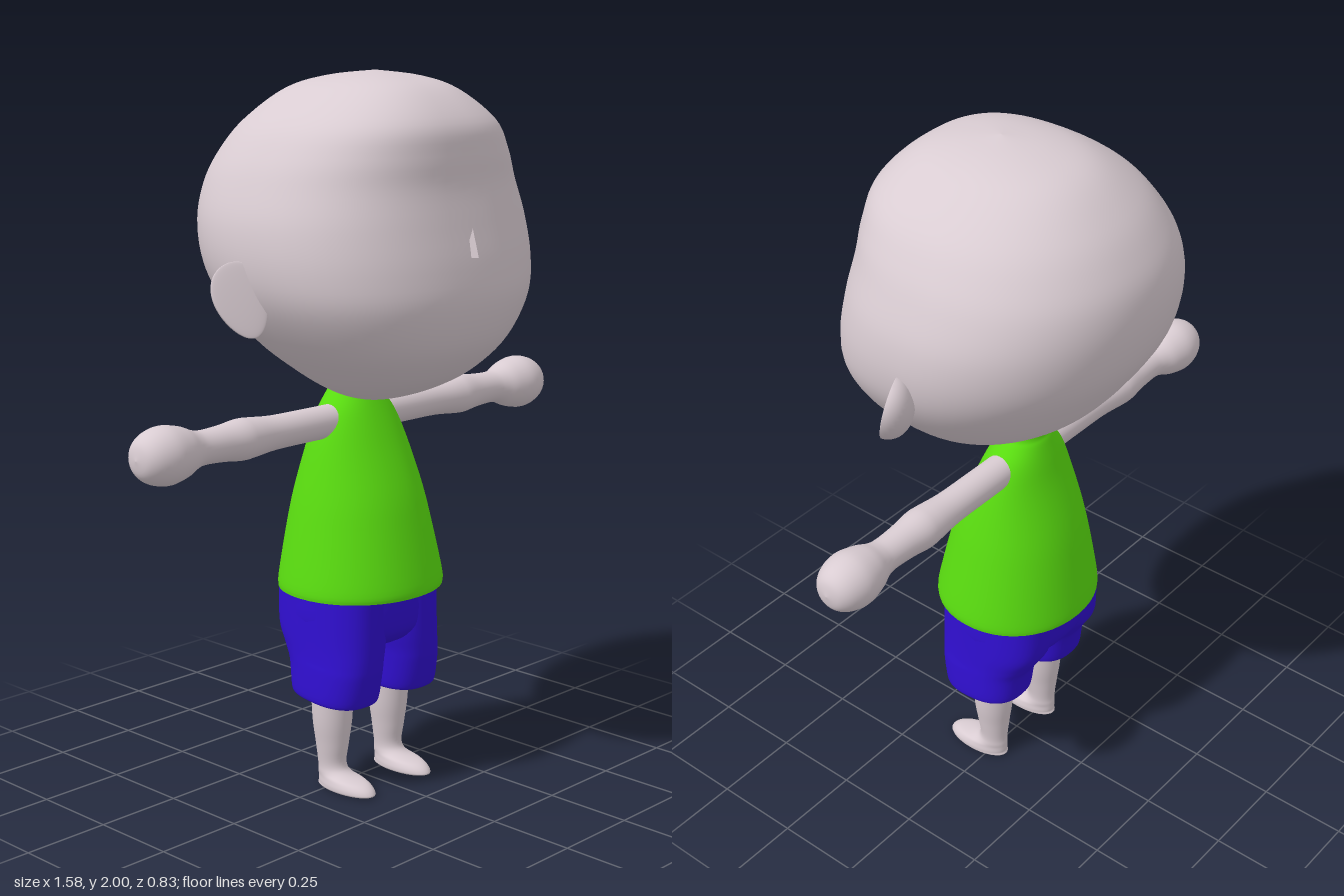
import * as THREE from 'three';

const skin = new THREE.MeshStandardMaterial({ color: 0xd9ccd2 });
const green = new THREE.MeshStandardMaterial({ color: 0x5ade10 });
const blue = new THREE.MeshStandardMaterial({ color: 0x300fd0 });
skin.name = 'skin';
green.name = 'shirtGreen';
blue.name = 'shortsBlue';

// Smooth interpolation through a list of number rows
function smoothRows(rows, steps) {
  const out = [];
  const at = (i) => rows[Math.min(rows.length - 1, Math.max(0, i))];
  for (let i = 0; i < rows.length - 1; i++) {
    for (let s = 0; s < steps; s++) {
      const t = s / steps;
      out.push(at(i).map((p1, k) => {
        const p0 = at(i - 1)[k], p2 = at(i + 1)[k], p3 = at(i + 2)[k];
        return 0.5 * (2 * p1 + (p2 - p0) * t + (2 * p0 - 5 * p1 + 4 * p2 - p3) * t * t
          + (3 * p1 - p0 - 3 * p2 + p3) * t * t * t);
      }));
    }
  }
  out.push(rows[rows.length - 1]);
  return out;
}

// Skin over superellipse rings; row = [y, centre x, half width, front z, back z], bottom to top
function loft(rows, { front = 2, back = 2, slope = 0, steps = 5, sides = 48 } = {}) {
  const pos = [], index = [];
  const rings = smoothRows(rows, steps);
  const pow = (v, n) => Math.sign(v) * Math.abs(v) ** (2 / n);
  rings.forEach(([y, cx, rx, zf, zb], i) => {
    for (let j = 0; j < sides; j++) {
      const t = (j / sides) * Math.PI * 2;
      const c = Math.cos(t), s = Math.sin(t), n = s > 0 ? front : back;
      const z = (zf + zb) / 2 + Math.max(0, (zf - zb) / 2) * pow(s, n);
      pos.push(cx + Math.max(0, rx) * pow(c, n), y + slope * z, z);
      if (i < rings.length - 1) {
        const a = i * sides + j, b = i * sides + (j + 1) % sides;
        index.push(a, a + sides, b, b, a + sides, b + sides);
      }
    }
  });
  const g = new THREE.BufferGeometry();
  g.setAttribute('position', new THREE.Float32BufferAttribute(pos, 3));
  g.setIndex(index);
  g.computeVertexNormals();
  return g;
}

export function createModel() {
  const model = new THREE.Group();
  model.name = 'child';
  const add = (name, geometry, material) => {
    const m = new THREE.Mesh(geometry, material);
    m.name = name;
    model.add(m);
    return m;
  };

  // Head with a shallow dent below the forehead
  add('head', loft([
    [1.12, 0, 0, 0.06, 0.06], [1.126, 0, 0.09, 0.14, 0], [1.16, 0, 0.18, 0.23, -0.06],
    [1.21, 0, 0.255, 0.31, -0.145], [1.29, 0, 0.345, 0.38, -0.25], [1.4, 0, 0.425, 0.413, -0.335],
    [1.5, 0, 0.455, 0.407, -0.39], [1.61, 0, 0.452, 0.385, -0.412], [1.71, 0, 0.42, 0.365, -0.405],
    [1.79, 0, 0.38, 0.361, -0.37], [1.87, 0, 0.318, 0.345, -0.31], [1.95, 0, 0.205, 0.265, -0.21],
    [1.985, 0, 0.11, 0.17, -0.09], [2.0, 0, 0, 0.05, 0.05],
  ], { front: 2.5, back: 2.1, sides: 64 }), skin);

  // Small pointed nose
  const noseGeo = new THREE.ConeGeometry(0.022, 0.075, 3).toNonIndexed();
  noseGeo.computeVertexNormals();
  add('nose', noseGeo, skin).position.set(0, 1.567, 0.397);

  // Shirt with collar and flat underside
  const hem = [0.575, 0, 0.236, 0.215, -0.225];
  add('shirt', loft([
    hem, [0.61, 0, 0.235, 0.214, -0.223], [0.757, 0, 0.208, 0.18, -0.2], [0.86, 0, 0.187, 0.15, -0.177],
    [0.995, 0, 0.153, 0.095, -0.135], [1.07, 0, 0.123, 0.063, -0.115], [1.12, 0, 0.085, 0.04, -0.1],
    [1.14, 0, 0.07, 0.03, -0.092], [1.17, 0, 0.066, 0.028, -0.09],
  ], { front: 2.1, back: 2.1 }), green);
  add('shirtUnderside', loft([[0.575, 0, 0, 0, 0], hem], { front: 2.1, back: 2.1, steps: 1 }), green);

  // Seat of the shorts
  add('shortsSeat', loft([
    [0.41, 0, 0, 0, 0], [0.418, 0, 0.12, 0.1, -0.11], [0.45, 0, 0.19, 0.145, -0.165],
    [0.5, 0, 0.209, 0.157, -0.187], [0.6, 0, 0.205, 0.155, -0.187],
  ], { front: 2.5, back: 2.5 }), blue);

  for (const [side, s] of [['left', 1], ['right', -1]]) {
    // Shorts leg, hollow at the hem
    add(side + 'ShortsLeg', loft([
      [0.36, s * 0.115, 0.06, 0.08, -0.07], [0.29, s * 0.115, 0.078, 0.1, -0.09],
      [0.276, s * 0.116, 0.09, 0.12, -0.108], [0.285, s * 0.117, 0.1, 0.135, -0.117],
      [0.36, s * 0.115, 0.1, 0.15, -0.13], [0.4, s * 0.112, 0.1, 0.154, -0.152],
      [0.46, s * 0.106, 0.104, 0.156, -0.182], [0.58, s * 0.103, 0.104, 0.156, -0.185],
    ], { front: 2.5, back: 2.5, slope: -0.09 }), blue);

    // Leg running into the foot
    const x = s * 0.115;
    add(side + 'Leg', loft([
      [0, x, 0, 0.05, 0.05], [0.001, x, 0.043, 0.143, -0.043], [0.012, x, 0.05, 0.151, -0.048],
      [0.03, x, 0.046, 0.125, -0.049], [0.044, x, 0.04, 0.06, -0.049], [0.07, x, 0.038, 0.037, -0.048],
      [0.13, x, 0.046, 0.044, -0.054], [0.22, x, 0.057, 0.054, -0.063], [0.4, x, 0.06, 0.058, -0.065],
    ], { sides: 32 }), skin);

    // Arm with elbow swell and ball hand
    const profile = [
      [0.046, 0.08], [0.046, 0.2], [0.047, 0.32], [0.054, 0.4], [0.056, 0.44], [0.049, 0.5],
      [0.046, 0.57], [0.052, 0.605], [0.068, 0.645], [0.078, 0.7], [0.066, 0.75], [0.04, 0.78], [0, 0.79],
    ];
    const points = new THREE.SplineCurve(profile.map(([r, l]) => new THREE.Vector2(r, l))).getPoints(60);
    points.forEach((p) => { p.x = Math.max(0, p.x); });
    const arm = add(side + 'Arm', new THREE.LatheGeometry(points, 32), skin);
    arm.rotation.z = -s * Math.PI / 2;
    arm.position.set(0, 1.052, -0.025);

    // Ear: domed behind, nearly flat in front, narrower at the lobe
    const earGeo = new THREE.SphereGeometry(1, 32, 24);
    const p = earGeo.attributes.position;
    for (let i = 0; i < p.count; i++) {
      const y = p.getY(i), z = p.getZ(i);
      p.setXYZ(i, p.getX(i) * 0.07 * (1 + 0.2 * y), y * 0.102, z * (z > 0 ? 0.006 : 0.065));
    }
    earGeo.computeVertexNormals();
    const ear = add(side + 'Ear', earGeo, skin);
    ear.position.set(s * 0.473, 1.43, 0.03);
    ear.rotation.set(-0.25, s * 0.45, -s * 0.2);
  }
  return model;
}
